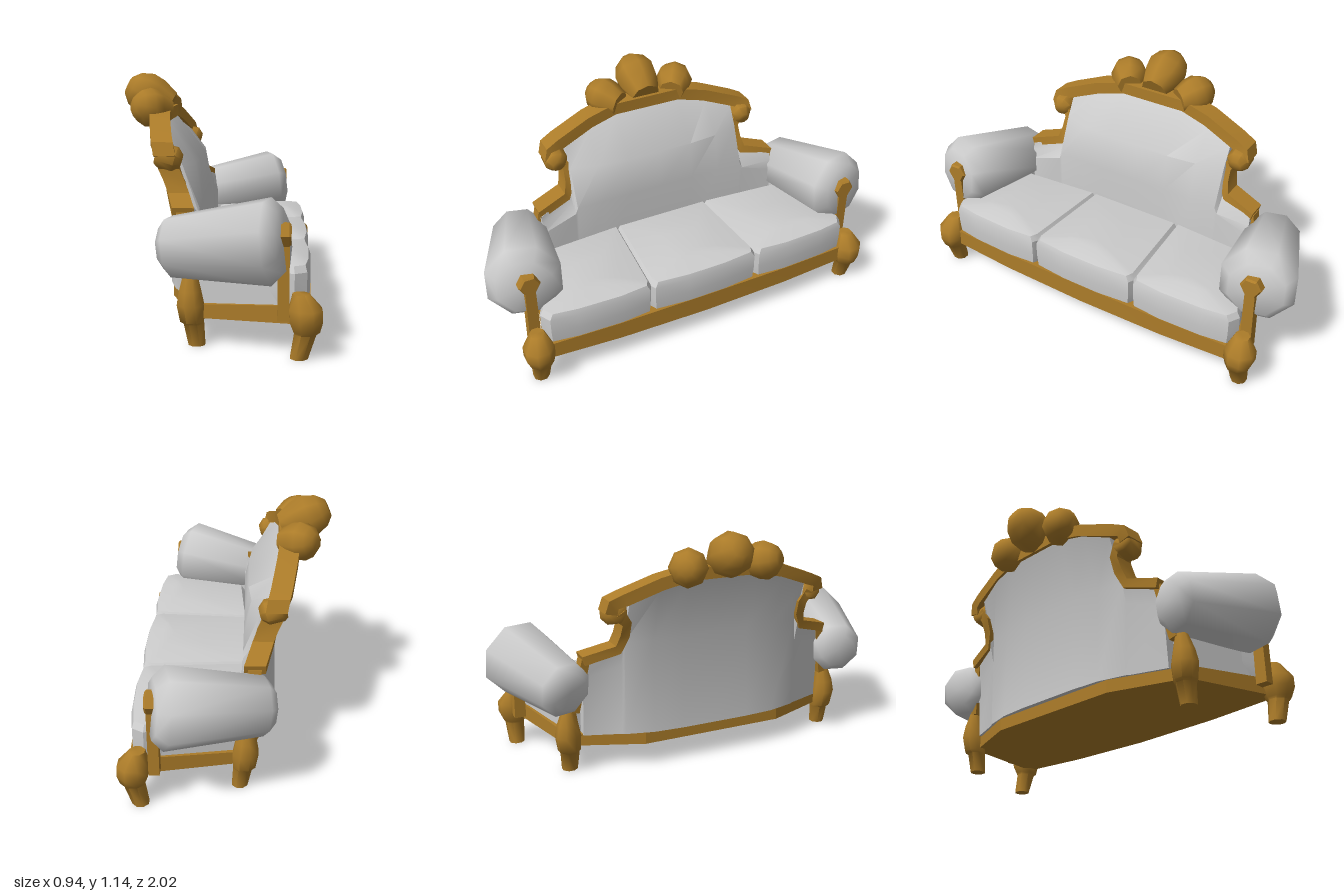
import * as THREE from 'three';
import { toCreasedNormals } from 'three/addons/utils/BufferGeometryUtils.js';

const wood = new THREE.MeshStandardMaterial({ color: 0xac7c29 });
const fabric = new THREE.MeshStandardMaterial({ color: 0xcccccc });
const V = (x, y, z) => new THREE.Vector3(x, y, z);

// Skin a list of equal-sized rings, cap both ends, and turn faces outward.
function loft(rings, crease = 0.5) {
  const n = rings[0].length, pos = [], tris = [];
  const centre = r => r.reduce((s, p) => s.add(p), V(0, 0, 0)).divideScalar(n);
  const first = centre(rings[0]), last = centre(rings[rings.length - 1]);
  for (let j = 0; j < n; j++) {
    const k = (j + 1) % n;
    for (let i = 0; i + 1 < rings.length; i++) {
      const a = rings[i][j], b = rings[i][k], c = rings[i + 1][k], d = rings[i + 1][j];
      tris.push([a, b, c], [a, c, d]);
    }
    tris.push([first, rings[0][k], rings[0][j]]);
    tris.push([last, rings[rings.length - 1][j], rings[rings.length - 1][k]]);
  }
  const volume = tris.reduce((s, [a, b, c]) => s + a.dot(b.clone().cross(c)), 0);
  for (const [a, b, c] of tris)
    for (const p of volume > 0 ? [a, b, c] : [a, c, b]) pos.push(p.x, p.y, p.z);
  const g = new THREE.BufferGeometry();
  g.setAttribute('position', new THREE.Float32BufferAttribute(pos, 3));
  return toCreasedNormals(g, crease);
}

// Round rings at stations [x, y, z, radius], all square to one axis.
function turned(stations, axis, sides = 8, twist = 0, crease = 1) {
  const side = Math.abs(axis.y) > 0.9 ? V(1, 0, 0) : V(0, 1, 0).cross(axis).normalize();
  const up = axis.clone().cross(side).normalize();
  return loft(stations.map(([x, y, z, r]) => Array.from({ length: sides }, (_, i) => {
    const a = twist + i / sides * Math.PI * 2;
    return V(x, y, z).addScaledVector(side, r * Math.cos(a)).addScaledVector(up, r * Math.sin(a));
  })), crease);
}

// Stations [t, radius] along a straight line.
function along(from, to, profile, sides, twist, crease) {
  const stations = profile.map(([t, r]) => [...from.clone().lerp(to, t).toArray(), r]);
  return turned(stations, to.clone().sub(from).normalize(), sides, twist, crease);
}

// Rectangular rail through points [x, y, z], offset in the upright plane.
function rail(path, width, depth) {
  return loft(path.map(([x, y, z], i) => {
    const a = path[Math.max(i - 1, 0)], b = path[Math.min(i + 1, path.length - 1)];
    const len = Math.hypot(b[1] - a[1], b[2] - a[2]);
    const ny = (b[2] - a[2]) / len * width / 2, nz = -(b[1] - a[1]) / len * width / 2;
    const d = depth / 2;
    return [V(x - d, y + ny, z + nz), V(x + d, y + ny, z + nz), V(x + d, y - ny, z - nz), V(x - d, y - ny, z - nz)];
  }), 0.5);
}

// Seat cushion from a plan outline [x, z], rounded off towards a crowned top.
function cushion(plan) {
  const cx = plan.reduce((s, p) => s + p[0], 0) / plan.length;
  const cz = plan.reduce((s, p) => s + p[1], 0) / plan.length;
  const layers = [[0.18, 0.96], [0.215, 0.985], [0.27, 1], [0.345, 1], [0.373, 0.94], [0.4, 0.4]];
  return loft(layers.map(([y, s]) => plan.map(([x, z]) => V(cx + (x - cx) * s, y, cz + (z - cz) * s))), 0.45);
}

export function createModel() {
  const group = new THREE.Group();
  const add = (name, geometry, material) => {
    const mesh = new THREE.Mesh(geometry, material);
    mesh.name = name;
    group.add(mesh);
  };
  // Adds a part and its mirror image across z = 0.
  const addPair = (name, geometry, material) => {
    add(name + 'Left', geometry, material);
    const m = geometry.clone();
    for (const key of ['position', 'normal']) {
      const a = m.attributes[key];
      for (let i = 0; i < a.count; i += 3) {
        const v = [0, 2, 1].map(k => V(a.getX(i + k), a.getY(i + k), -a.getZ(i + k)));
        v.forEach((p, k) => a.setXYZ(i + k, p.x, p.y, p.z));
      }
    }
    add(name + 'Right', m, material);
  };

  // Base frame: bowed plan [x, z, bottom y, top y], higher at the front
  const half = [[0.439, 0.45, 0.122, 0.215], [0.425, 0.83, 0.135, 0.215], [-0.06, 0.71, 0.12, 0.18], [-0.19, 0.36, 0.115, 0.175]];
  const plan = [[0.442, 0, 0.115, 0.215], ...half, ...half.slice().reverse().map(([x, z, b, t]) => [x, -z, b, t])];
  add('baseFrame', loft([plan.map(([x, z, b]) => V(x, b, z)), plan.map(([x, z, b, t]) => V(x, t, z))], 0.2), wood);

  // Legs with swollen knees
  const up = V(0, 1, 0), eighth = Math.PI / 8;
  addPair('frontLeg', turned([[0.38, 0, 0.845, 0.039], [0.405, 0.105, 0.845, 0.048], [0.41, 0.115, 0.845, 0.058],
    [0.407, 0.16, 0.85, 0.073], [0.405, 0.21, 0.85, 0.073], [0.385, 0.272, 0.845, 0.036]], up, 8, eighth), wood);
  addPair('rearLeg', turned([[-0.052, 0, 0.7, 0.038], [-0.065, 0.095, 0.7, 0.046], [-0.072, 0.105, 0.705, 0.054],
    [-0.078, 0.18, 0.71, 0.062], [-0.08, 0.24, 0.71, 0.05], [-0.08, 0.33, 0.7, 0.026]], up, 8, eighth), wood);

  // Seat cushions
  add('middleCushion', cushion([[-0.08, -0.253], [0.39, -0.284], [0.425, -0.268], [0.441, -0.1], [0.441, 0.1],
    [0.425, 0.268], [0.39, 0.284], [-0.08, 0.253]]), fabric);
  addPair('sideCushion', cushion([[-0.08, 0.244], [0.39, 0.278], [0.425, 0.296], [0.438, 0.44], [0.43, 0.66],
    [0.412, 0.785], [0.36, 0.815], [-0.05, 0.66]]), fabric);

  // Arms: panel, tapered bolster, post and end knob
  addPair('armPanel', loft([0.15, 0.42].map(y => [V(-0.06, y, 0.69), V(0.31, y, 0.79), V(0.31, y, 0.74), V(-0.06, y, 0.64)]), 0.3), fabric);
  addPair('armBolster', along(V(-0.19, 0.432, 0.723), V(0.325, 0.495, 0.86),
    [[0, 0.09], [0.07, 0.132], [0.88, 0.183], [0.975, 0.135]], 8, eighth, 1.3), fabric);
  addPair('armPost', loft([[0.16, 0.028], [0.52, 0.024]].map(([y, w]) =>
    [V(0.29, y, 0.84 - w), V(0.338, y, 0.84 - w), V(0.338, y, 0.84 + w), V(0.29, y, 0.84 + w)]), 0.3), wood);
  addPair('armKnob', along(V(0.3, 0.515, 0.84), V(0.344, 0.515, 0.84), [[0, 0.052], [0.8, 0.052], [1, 0.044]], 6, 0, 0.4), wood);

  // Upholstered back: slices [z, top y, lower rear x, rear knee x, top rear x, front knee x, front x]
  const slices = [[0, 0.935, -0.215, -0.205, -0.305, -0.08, -0.06], [0.17, 0.935, -0.215, -0.205, -0.305, -0.08, -0.06],
    [0.32, 0.885, -0.205, -0.2, -0.29, -0.095, -0.06], [0.455, 0.84, -0.17, -0.18, -0.26, -0.135, -0.06],
    [0.468, 0.62, -0.16, -0.168, -0.195, -0.095, -0.06], [0.64, 0.565, -0.1, -0.12, -0.14, -0.06, -0.05]];
  const slice = ([z, top, low, knee, rear, front, seat], sign) => [
    V(low, 0.175, z * sign), V(knee, Math.min(0.63, top - 0.1), z * sign), V(rear, top, z * sign),
    V(rear + 0.075, top - 0.01, z * sign), V(front, Math.min(0.74, top - 0.05), z * sign),
    V(seat, Math.min(0.55, top - 0.1), z * sign), V(seat, 0.175, z * sign)];
  add('backUpholstery', loft([...slices.slice(1).reverse().map(s => slice(s, -1)), ...slices.map(s => slice(s, 1))], 0.6), fabric);

  // Carved back rail: crest, scrolls and stepped shoulders
  const crest = [[-0.27, 0.95, 0.17], [-0.255, 0.918, 0.31], [-0.228, 0.855, 0.48], [-0.215, 0.835, 0.53], [-0.205, 0.79, 0.54]];
  add('crestRail', rail([...crest.slice().reverse().map(([x, y, z]) => [x, y, -z]), ...crest], 0.058, 0.095), wood);
  addPair('shoulderRail', rail([[-0.205, 0.79, 0.495], [-0.195, 0.735, 0.462], [-0.17, 0.67, 0.465],
    [-0.15, 0.605, 0.49], [-0.115, 0.562, 0.645]], 0.045, 0.095), wood);
  addPair('sideUpright', rail([[-0.115, 0.56, 0.63], [-0.085, 0.3, 0.68]], 0.04, 0.06), wood);
  addPair('scroll', along(V(-0.245, 0.8, 0.51), V(-0.135, 0.768, 0.51), [[0, 0.045], [0.15, 0.057], [0.75, 0.057], [1, 0.03]], 8, eighth), wood);

  // Three flaring shells on the crest
  const shell = [[0, 0.07], [0.35, 0.1], [0.6, 0.106], [0.85, 0.083], [1, 0.045]];
  add('middleShell', along(V(-0.24, 0.98, 0), V(-0.45, 1.08, 0), shell, 8, 0), wood);
  addPair('sideShell', along(V(-0.24, 0.965, 0.14), V(-0.385, 0.998, 0.24), shell.map(([t, r]) => [t, r * 0.87]), 8, 0), wood);

  return group;
}
